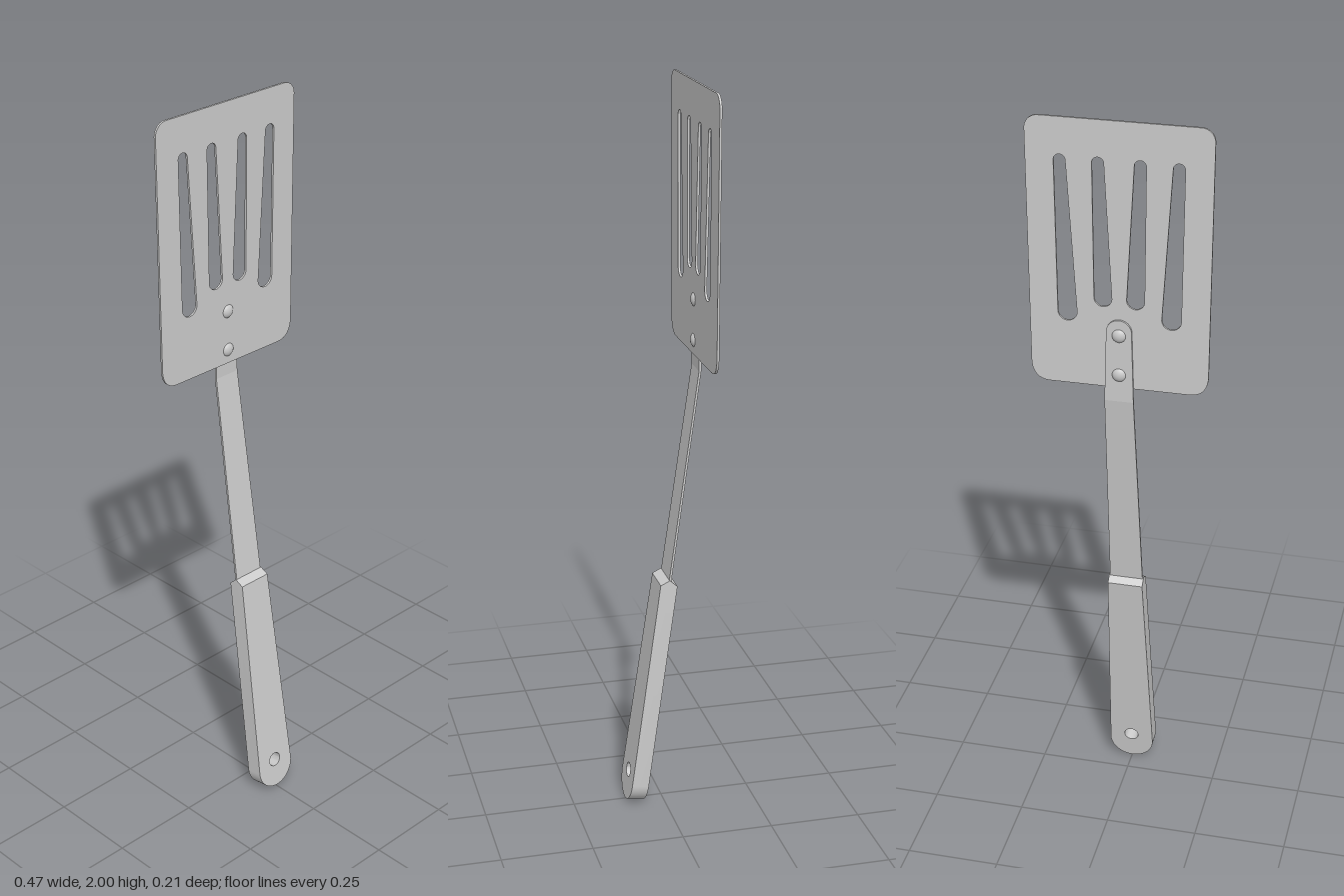
import * as THREE from 'three';
import { toCreasedNormals } from 'three/addons/utils/BufferGeometryUtils.js';

const metal = new THREE.MeshStandardMaterial({ color: 0xcccccc });

function addMesh(parent, name, geometry) {
  const mesh = new THREE.Mesh(geometry, metal);
  mesh.name = name;
  parent.add(mesh);
  return mesh;
}

// Plate centred on z = 0
function plate(shape, depth, steps = 1) {
  const g = new THREE.ExtrudeGeometry(shape, { depth, steps, bevelEnabled: false, curveSegments: 14 });
  return g.translate(0, 0, -depth / 2);
}

// Tapered slot with round ends; (xt, yt) and (xb, yb) are the end circle centres
function slot(xt, yt, rt, xb, yb, rb) {
  const p = new THREE.Path();
  p.absarc(xt, yt, rt, 0, Math.PI, false);
  p.absarc(xb, yb, rb, Math.PI, 2 * Math.PI, false);
  p.closePath();
  return p;
}

// Slotted blade, slightly narrower at the bottom
function bladeGeometry() {
  const top = 2, bottom = 1.287, wt = 0.236, wb = 0.231, rt = 0.035, rb = 0.05;
  const s = new THREE.Shape();
  s.moveTo(-wb + rb, bottom);
  s.lineTo(wb - rb, bottom);
  s.quadraticCurveTo(wb - 0.004, bottom, wb, bottom + rb);
  s.lineTo(wt, top - rt);
  s.absarc(wt - rt, top - rt, rt, 0, Math.PI / 2, false);
  s.absarc(-wt + rt, top - rt, rt, Math.PI / 2, Math.PI, false);
  s.lineTo(-wb, bottom + rb);
  s.quadraticCurveTo(-wb + 0.004, bottom, -wb + rb, bottom);
  for (const side of [-1, 1]) {
    s.holes.push(slot(side * 0.149, 1.89, 0.015, side * 0.134, 1.488, 0.025));
    s.holes.push(slot(side * 0.053, 1.89, 0.015, side * 0.042, 1.533, 0.023));
  }
  return toCreasedNormals(plate(s, 0.006), 0.5);
}

// Handle grip: tapered, rounded at the bottom, chamfered front and back at the top
function handleGeometry() {
  const length = 0.672, r = 0.062, half = 0.048, depth = 0.047;
  const s = new THREE.Shape();
  s.moveTo(half, length);
  s.lineTo(-half, length);
  s.absarc(0, r, r, Math.PI, 2 * Math.PI, false);
  s.closePath();
  const hole = new THREE.Path();
  hole.absarc(0, 0.083, 0.02, 0, 2 * Math.PI, true);
  s.holes.push(hole);
  const g = plate(s, depth, 2);
  const p = g.attributes.position;
  for (let i = 0; i < p.count; i++) {
    if (p.getY(i) > length - 0.001) p.setY(i, length - 0.016 * Math.abs(p.getZ(i)) / (depth / 2));
  }
  return toCreasedNormals(g, 0.4);
}

export function createModel() {
  const model = new THREE.Group();
  model.name = 'spatula';

  addMesh(model, 'blade', bladeGeometry()).position.z = -0.091;

  // Shank: upright tab behind the blade, then a strip sloping forward to the handle
  const bendY = 1.25, bendZ = -0.097, slope = 0.14;
  const shank = new THREE.Group();
  shank.name = 'shank';
  model.add(shank);

  const tab = new THREE.Shape();
  tab.moveTo(-0.038, bendY);
  tab.lineTo(0.038, bendY);
  tab.absarc(0, 1.445, 0.033, 0, Math.PI, false);
  tab.closePath();
  addMesh(shank, 'shankTab', toCreasedNormals(plate(tab, 0.006), 0.5)).position.z = bendZ;

  const strip = new THREE.Shape([
    new THREE.Vector2(-0.046, 0.6), new THREE.Vector2(0.046, 0.6),
    new THREE.Vector2(0.038, bendY), new THREE.Vector2(-0.038, bendY),
  ]);
  const stripGeometry = plate(strip, 0.006);
  const p = stripGeometry.attributes.position;
  for (let i = 0; i < p.count; i++) p.setZ(i, p.getZ(i) + bendZ + slope * (bendY - p.getY(i)));
  stripGeometry.computeVertexNormals();
  addMesh(shank, 'shankStrip', stripGeometry);

  // Rivets with domed heads on both faces
  for (const y of [1.435, 1.325]) {
    const rivet = addMesh(model, 'rivet', new THREE.SphereGeometry(0.02, 20, 14));
    rivet.position.set(0, y, -0.094);
    rivet.scale.z = 0.7;
  }

  const handle = addMesh(model, 'handle', handleGeometry());
  handle.position.set(0, 0.004, 0.082);
  handle.rotation.x = -0.143;

  return model;
}
